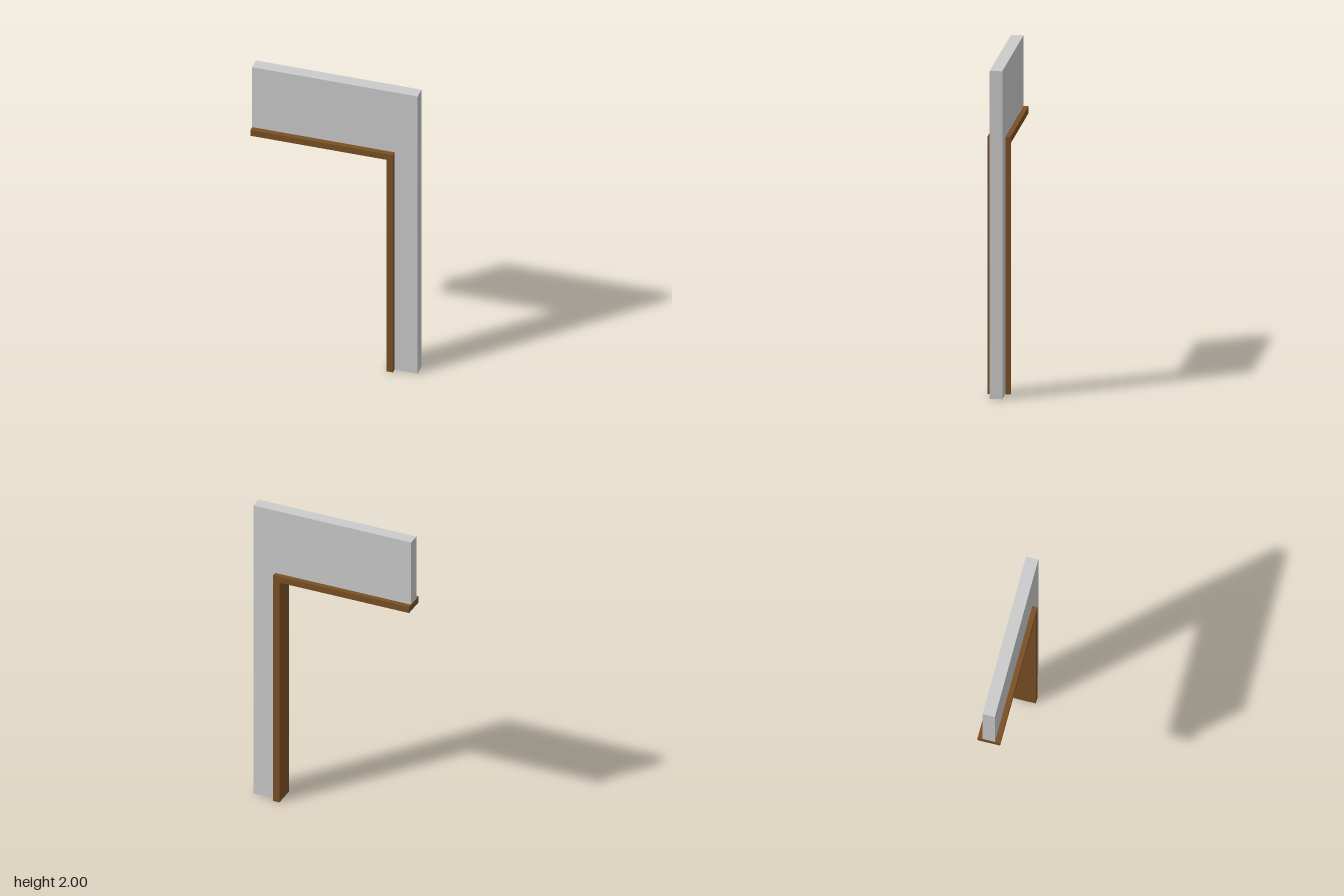
import * as THREE from 'three';

// Upside-down L outline, open towards lower -x, extruded from zMin to zMax
function lPiece(name, color, outerX, top, innerX, innerY, zMin, zMax) {
  const end = -0.517;
  const shape = new THREE.Shape([
    [innerX, 0], [outerX, 0], [outerX, top], [end, top], [end, innerY], [innerX, innerY],
  ].map(([x, y]) => new THREE.Vector2(x, y)));
  const geometry = new THREE.ExtrudeGeometry(shape, { depth: zMax - zMin, bevelEnabled: false });
  geometry.translate(0, 0, zMin);
  const mesh = new THREE.Mesh(geometry, new THREE.MeshStandardMaterial({ color }));
  mesh.name = name;
  return mesh;
}

export function createModel() {
  const group = new THREE.Group();
  group.name = 'doorwayCorner';
  // Wall: header panel and side post in one piece
  group.add(lPiece('wall', 0xcccccc, 0.517, 2, 0.373, 1.568, -0.039, 0.037));
  // Wooden frame lining the opening, standing proud of both wall faces
  group.add(lPiece('doorFrame', 0x7a5025, 0.373, 1.568, 0.333, 1.526, -0.069, 0.069));
  return group;
}
